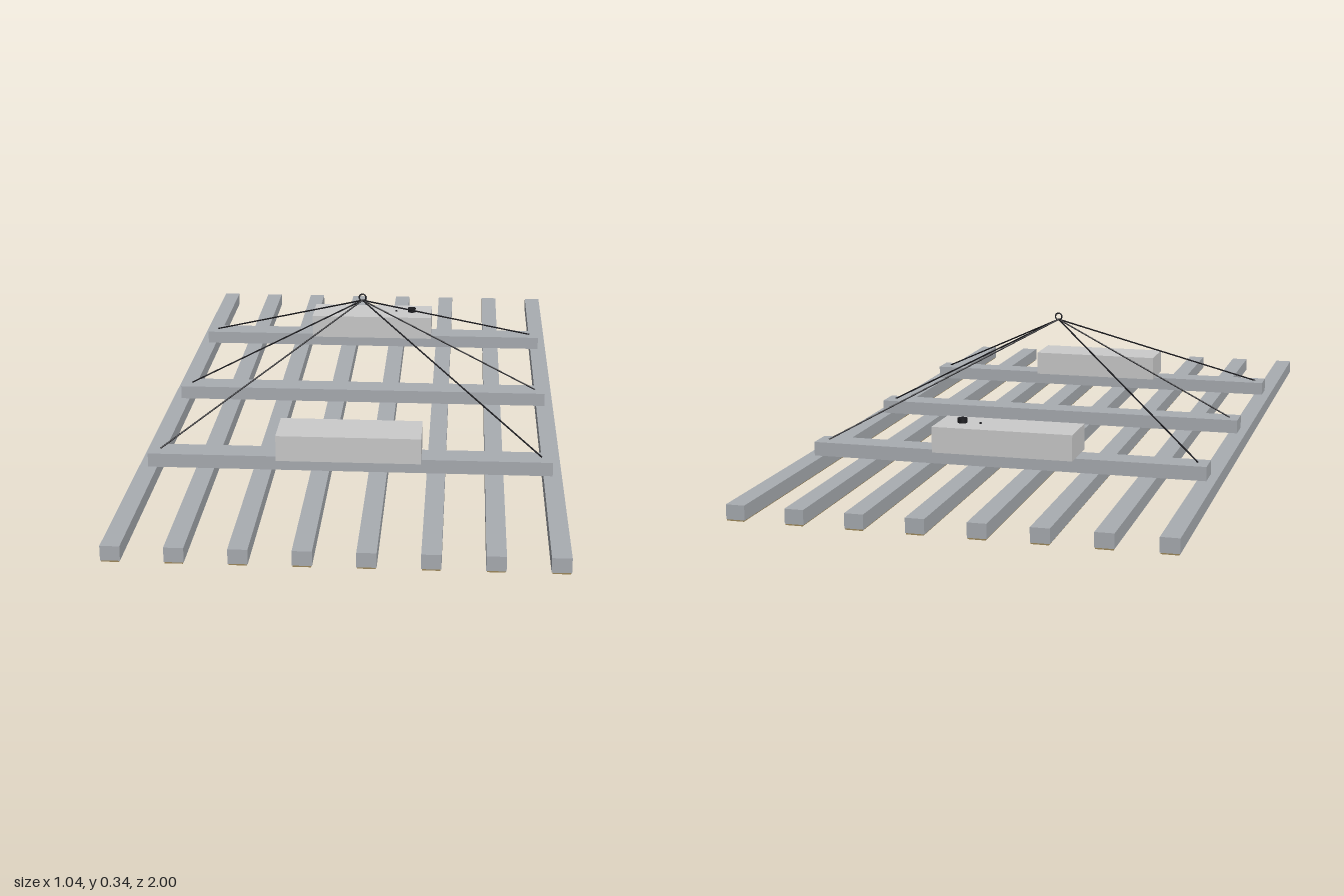
import * as THREE from 'three';

const paint = (color) => new THREE.MeshStandardMaterial({ color });

export function createModel() {
  const model = new THREE.Group();
  const steel = paint(0xa9adb2);
  const housing = paint(0xcccccc);
  const dark = paint(0x1c1c20);
  const pad = paint(0xa08a5c);

  const add = (name, geometry, material, x, y, z) => {
    const mesh = new THREE.Mesh(geometry, material);
    mesh.name = name;
    mesh.position.set(x, y, z);
    model.add(mesh);
    return mesh;
  };

  // Eight long rails, each with a thin pad underneath
  const railGeo = new THREE.BoxGeometry(0.045, 0.035, 2);
  const padGeo = new THREE.BoxGeometry(0.041, 0.003, 2);
  for (let i = 0; i < 8; i++) {
    const x = -0.5 + i / 7;
    add('rail', railGeo, steel, x, 0.0205, 0);
    add('railPad', padGeo, pad, x, 0.0015, 0);
  }

  // Three cross beams
  const beamGeo = new THREE.BoxGeometry(1, 0.035, 0.068);
  for (const z of [-0.5, 0, 0.5]) add('crossBeam', beamGeo, steel, 0, 0.0555, z);

  // Equipment boxes on the outer beams
  const boxGeo = new THREE.BoxGeometry(0.356, 0.065, 0.126);
  for (const z of [-0.5, 0.5]) add('equipmentBox', boxGeo, housing, 0, 0.1055, z);

  // Knob and indicator on the rear box
  add('knob', new THREE.CylinderGeometry(0.012, 0.012, 0.012, 24), dark, 0.118, 0.144, -0.5);
  add('indicator', new THREE.CylinderGeometry(0.003, 0.003, 0.003, 12), dark, 0.071, 0.1395, -0.5);

  // Lifting ring
  const apex = new THREE.Vector3(0, 0.32, 0);
  add('liftingRing', new THREE.TorusGeometry(0.009, 0.002, 10, 32), dark, 0, 0.328, 0);

  // Six cables from the ring to the beam ends
  for (const x of [-0.475, 0.475]) {
    for (const z of [-0.5, 0, 0.5]) {
      const path = new THREE.LineCurve3(apex, new THREE.Vector3(x, 0.073, z));
      add('cable', new THREE.TubeGeometry(path, 1, 0.002, 8), dark, 0, 0, 0);
    }
  }
  return model;
}
